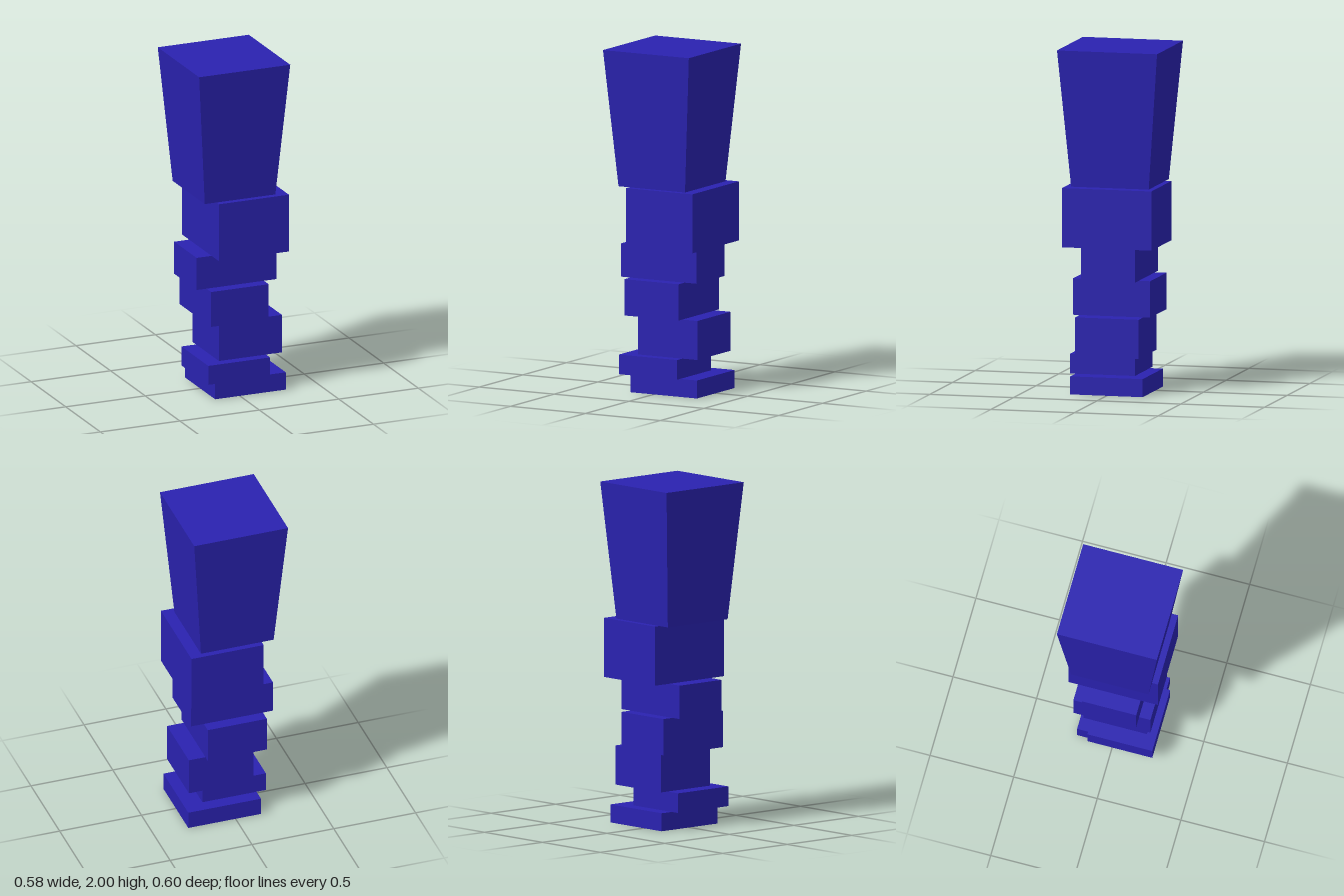
import * as THREE from 'three';

const material = new THREE.MeshStandardMaterial({ color: 0x2a22b0, flatShading: true });

// Block spanning the given x, y and z ranges
function block(name, [x0, x1], [y0, y1], [z0, z1]) {
  const geometry = new THREE.BoxGeometry(x1 - x0, y1 - y0, z1 - z0);
  const mesh = new THREE.Mesh(geometry, material);
  mesh.name = name;
  mesh.position.set((x0 + x1) / 2, (y0 + y1) / 2, (z0 + z1) / 2);
  return mesh;
}

export function createModel() {
  const group = new THREE.Group();
  group.name = 'steppedPillar';

  // Stack of offset blocks, bottom to top: x range, y range, z range
  const stack = [
    [[-0.155, 0.289], [0, 0.105], [-0.215, 0.218]],
    [[-0.212, 0.176], [0.105, 0.22], [-0.138, 0.25]],
    [[-0.12, 0.276], [0.22, 0.448], [-0.188, 0.192]],
    [[-0.186, 0.175], [0.448, 0.66], [-0.229, 0.232]],
    [[-0.248, 0.254], [0.66, 0.855], [-0.16, 0.164]],
    [[-0.154, 0.287], [0.855, 1.2], [-0.266, 0.268]],
  ];
  stack.forEach((ranges, i) => group.add(block(`stackBlock${i + 1}`, ...ranges)));

  // Tall top block, narrowing towards its base
  const top = block('taperedTop', [-0.291, 0.282], [1.2, 2], [-0.299, 0.299]);
  const pos = top.geometry.attributes.position;
  for (let i = 0; i < pos.count; i++) {
    if (pos.getY(i) < 0) {
      pos.setX(i, pos.getX(i) * 0.775);
      pos.setZ(i, pos.getZ(i) * 0.775);
    }
  }
  top.geometry.computeVertexNormals();
  group.add(top);

  return group;
}
